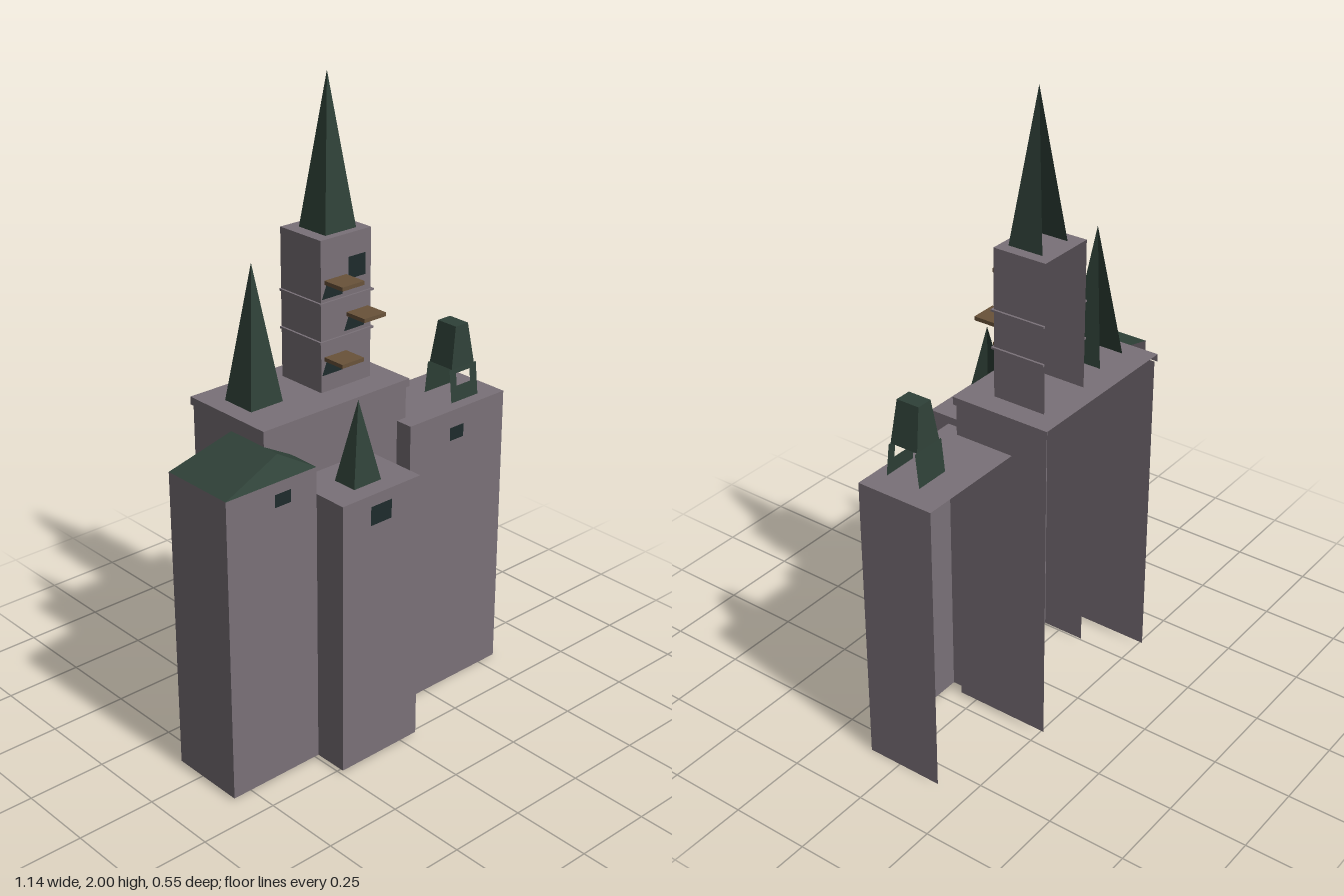
import * as THREE from 'three';

const mat = (name, color) => {
  const m = new THREE.MeshStandardMaterial({ color, side: THREE.DoubleSide });
  m.name = name;
  return m;
};

export function createModel() {
  const root = new THREE.Group();
  root.name = 'castle';
  const stone = mat('stone', 0x7a7178);
  const roof = mat('roofGreen', 0x2f4138);
  const glass = mat('windowDark', 0x1e2b2c);
  const wood = mat('wood', 0x69533a);

  const add = (name, geo, m) => {
    const mesh = new THREE.Mesh(geo, m);
    mesh.name = name;
    root.add(mesh);
    return mesh;
  };

  // Flat-faced sheet from polygons, each fanned from its first corner
  const sheet = (name, polys, m) => {
    const pos = [];
    for (const p of polys)
      for (let i = 1; i < p.length - 1; i++) pos.push(...p[0], ...p[i], ...p[i + 1]);
    const geo = new THREE.BufferGeometry();
    geo.setAttribute('position', new THREE.Float32BufferAttribute(pos, 3));
    geo.computeVertexNormals();
    return add(name, geo, m);
  };

  // Tower shell: front, two sides and an optional top, open at back and bottom
  const tower = (name, x0, x1, y0, y1, z0, z1, top = true) => {
    const polys = [
      [[x0, y0, z1], [x1, y0, z1], [x1, y1, z1], [x0, y1, z1]],
      [[x1, y0, z1], [x1, y0, z0], [x1, y1, z0], [x1, y1, z1]],
      [[x0, y0, z0], [x0, y0, z1], [x0, y1, z1], [x0, y1, z0]],
    ];
    if (top) polys.push([[x0, y1, z1], [x1, y1, z1], [x1, y1, z0], [x0, y1, z0]]);
    return sheet(name, polys, stone);
  };

  // Spire with front and side faces, open at the back
  const spire = (name, x, z, hx, hz, y0, y1) => {
    const a = [x - hx, y0, z + hz], b = [x + hx, y0, z + hz];
    const c = [x + hx, y0, z - hz], d = [x - hx, y0, z - hz], t = [x, y1, z];
    sheet(name, [[a, b, t], [b, c, t], [d, a, t]], roof);
  };

  // Thin window; skew slides the upper edge sideways
  const windowPane = (name, x0, x1, y0, y1, z, skew = 0) => sheet(name,
    [[[x0, y0, z], [x1, y0, z], [x1 + skew, y1, z], [x0 + skew, y1, z]]], glass);

  const box = (name, x0, x1, y0, y1, z0, z1, m) => {
    const mesh = add(name, new THREE.BoxGeometry(x1 - x0, y1 - y0, z1 - z0), m);
    mesh.position.set((x0 + x1) / 2, (y0 + y1) / 2, (z0 + z1) / 2);
  };

  // Large towers
  tower('mainTower', -0.345, 0.205, 0.01, 1.055, -0.265, 0.052, false);
  tower('mainTowerCap', -0.35, 0.213, 1.055, 1.08, -0.272, 0.058);
  tower('leftTower', 0.17, 0.57, 0, 0.953, -0.145, 0.11);
  tower('rightTower', -0.57, -0.245, 0.01, 0.975, -0.092, 0.16, false);
  tower('frontTower', -0.245, 0.055, 0.01, 0.89, 0.02, 0.27);
  tower('upperTower', -0.053, 0.14, 1.08, 1.545, -0.21, -0.035);

  // Spires
  spire('mainSpire', -0.232, -0.126, 0.059, 0.059, 1.08, 1.5);
  spire('frontSpire', -0.098, 0.172, 0.052, 0.041, 0.89, 1.14);
  spire('upperSpire', 0.046, -0.117, 0.059, 0.057, 1.545, 2);

  // Hipped roof on the right tower
  const fl = [-0.57, 0.975, 0.16], fr = [-0.245, 0.975, 0.16];
  const bl = [-0.57, 0.975, -0.092], br = [-0.245, 0.975, -0.092];
  const rf = [-0.345, 1.03, 0.11], rb = [-0.345, 1.03, -0.092];
  sheet('hippedRoof', [[fl, fr, rf], [bl, fl, rf, rb], [fr, br, rb, rf]], roof);

  // Belfry: two leaning panels under a tapered cap, open at the sides
  const bx = 0.438, bz = 0.013;
  const panel = new THREE.Shape([[-0.057, 0], [0.057, 0], [0.057, 0.106], [-0.057, 0.106]]
    .map(p => new THREE.Vector2(...p)));
  panel.holes.push(new THREE.Path([[-0.03, 0.05], [-0.03, 0.09], [0.028, 0.09], [0.028, 0.05]]
    .map(p => new THREE.Vector2(...p))));
  for (const s of [1, -1]) {
    const geo = s > 0 ? new THREE.ShapeGeometry(panel) : new THREE.PlaneGeometry(0.114, 0.106).translate(0, 0.053, 0);
    if (s < 0) geo.rotateY(Math.PI);
    const leg = add(s > 0 ? 'belfryFront' : 'belfryBack', geo, roof);
    leg.position.set(bx, 0.953, bz + s * 0.058);
    leg.rotation.x = -s * 0.11;
  }
  const ring = (y, hx, hz) => [[-1, 1], [1, 1], [1, -1], [-1, -1]]
    .map(([i, k]) => [bx + i * hx, y, bz + k * hz]);
  const lo = ring(1.058, 0.048, 0.047), hi = ring(1.19, 0.026, 0.038);
  const capFaces = lo.map((p, i) => [p, lo[(i + 1) % 4], hi[(i + 1) % 4], hi[i]]);
  sheet('belfryCap', [...capFaces, hi], roof);

  // Windows
  windowPane('rightWindow', -0.4, -0.342, 0.9, 0.94, 0.163);
  windowPane('frontWindow', -0.14, -0.06, 0.795, 0.855, 0.273);
  windowPane('leftWindow', 0.335, 0.393, 0.855, 0.898, 0.113);
  windowPane('upperWindow', 0.05, 0.117, 1.408, 1.475, -0.032);

  // Wooden balconies, each above a slanted window
  for (const [x, y] of [[-0.04, 1.417], [0.045, 1.3], [-0.04, 1.182]]) {
    box('balcony', x, x + 0.084, y - 0.005, y + 0.007, -0.035, 0.042, wood);
    windowPane('balconyWindow', x - 0.012, x + 0.066, y - 0.048, y - 0.005, -0.032, 0.018);
  }

  // Thin bands round the upper tower
  for (const y of [1.355, 1.237]) {
    box('bandFront', -0.06, 0.147, y - 0.003, y + 0.003, -0.035, -0.029, stone);
    box('bandRight', -0.06, -0.053, y - 0.003, y + 0.003, -0.21, -0.035, stone);
    box('bandLeft', 0.14, 0.147, y - 0.003, y + 0.003, -0.21, -0.035, stone);
  }
  return root;
}
